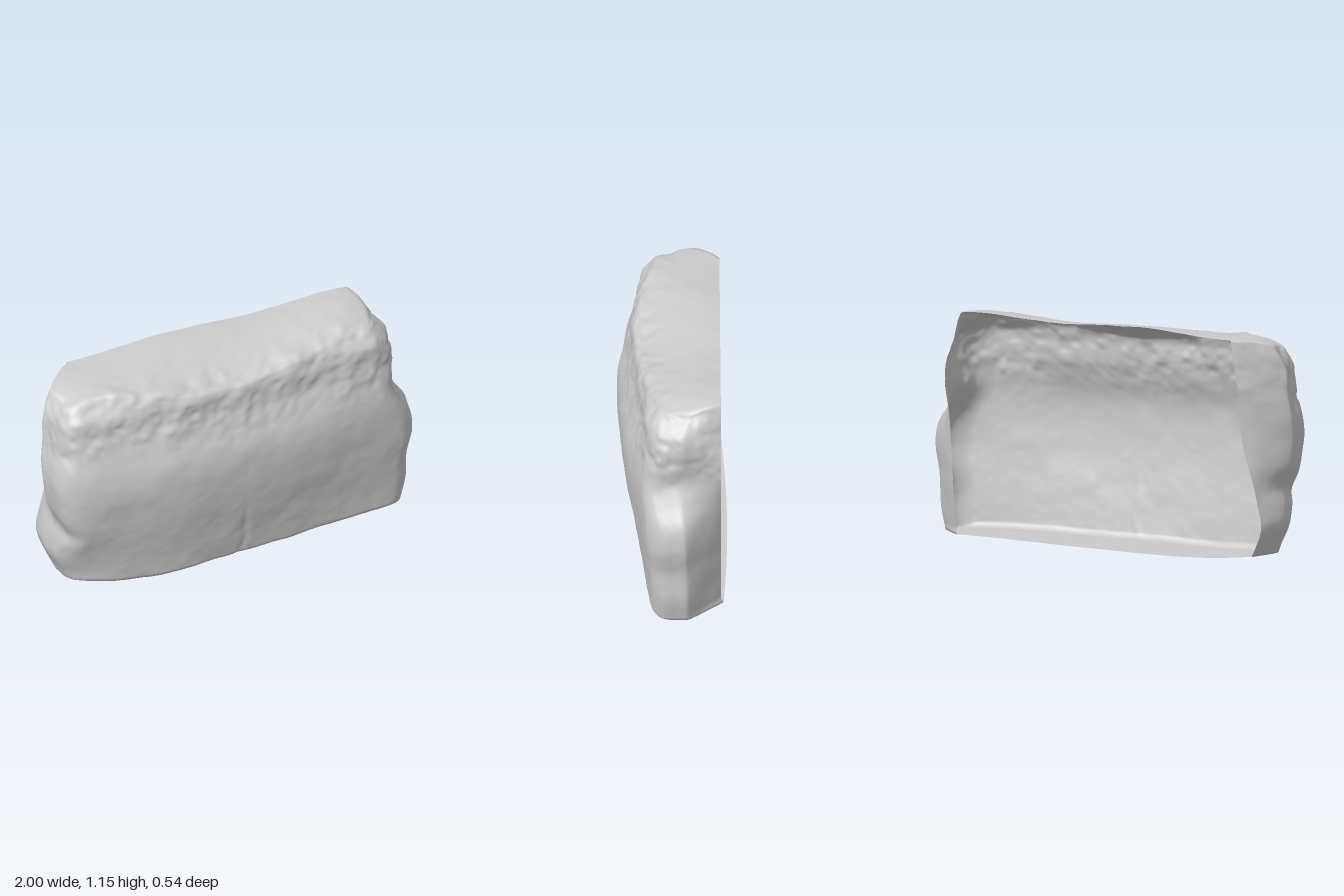
import * as THREE from 'three';

// Smooth curve through [position, value] pairs
function curve(pairs) {
  const c = new THREE.CubicInterpolant(pairs.map(p => p[0]), pairs.map(p => p[1]), 1, [0]);
  return t => c.evaluate(t)[0];
}
const { lerp, smoothstep } = THREE.MathUtils;

// Side outlines by height: at the widest part and at the open back rim
const leftMid = curve([[0, -0.9], [0.06, -0.92], [0.17, -0.96], [0.26, -0.95], [0.34, -0.93], [0.46, -0.97],
  [0.6, -0.985], [0.72, -1], [0.86, -0.98], [1.02, -0.965], [1.12, -0.92]]);
const leftBack = curve([[0, -0.885], [0.15, -0.93], [0.28, -0.91], [0.45, -0.86], [0.75, -0.8], [1, -0.78], [1.12, -0.76]]);
const rightMid = curve([[0, 0.94], [0.1, 0.962], [0.3, 0.98], [0.45, 1], [0.56, 0.98], [0.66, 0.92],
  [0.75, 0.875], [0.85, 0.885], [0.95, 0.89], [1.02, 0.865], [1.12, 0.8]]);
const rightBack = curve([[0, 0.78], [0.3, 0.81], [0.6, 0.825], [0.85, 0.855], [1, 0.81], [1.12, 0.76]]);
// Top and bottom edge heights by x
const topBack = curve([[-0.85, 1.11], [-0.6, 1.118], [-0.3, 1.14], [0, 1.135], [0.2, 1.125], [0.4, 1.135], [0.7, 1.145], [0.82, 1.13]]);
const topFront = curve([[-0.95, 1.03], [-0.9, 1.05], [-0.8, 1.085], [-0.5, 1.085], [-0.25, 1.05], [0, 1.035], [0.2, 1.055],
  [0.5, 1.09], [0.65, 1.1], [0.8, 1.07]]);
const bottomEdge = curve([[-0.9, 0.03], [-0.6, 0.006], [0, 0.008], [0.6, 0.018], [0.92, 0.014]]);
// Front bulge across the width and its loss with height
const bulgeX = curve([[-1, 0.14], [-0.9, 0.2], [-0.6, 0.247], [-0.4, 0.267], [0, 0.257], [0.4, 0.222], [0.7, 0.17], [0.9, 0.13], [1, 0.09]]);
const bulgeY = curve([[0, -0.09], [0.2, -0.055], [0.4, -0.018], [0.6, 0], [0.7, -0.01], [0.8, -0.04], [0.9, -0.065], [1, -0.078], [1.1, -0.125]]);

// Seeded value noise for the stone surface
function hash(x, y, z) {
  let h = Math.imul(x, 374761393) ^ Math.imul(y, 668265263) ^ Math.imul(z, 1442695041);
  h = Math.imul(h ^ (h >>> 13), 1274126177);
  return ((h ^ (h >>> 16)) >>> 0) / 2147483648 - 1;
}
function noise(x, y, z) {
  const i = Math.floor(x), j = Math.floor(y), k = Math.floor(z);
  const f = t => t * t * (3 - 2 * t);
  const u = f(x - i), v = f(y - j), w = f(z - k);
  const row = (b, c) => lerp(hash(i, j + b, k + c), hash(i + 1, j + b, k + c), u);
  return lerp(lerp(row(0, 0), row(1, 0), v), lerp(row(0, 1), row(1, 1), v), w);
}

// Rounding depth near the border of the front face
function roll(t, width, depth) {
  const e = Math.max(0, 1 - (1 - Math.abs(t)) / width);
  return depth * (1 - Math.sqrt(1 - e * e));
}

// Front depth: bulge, flatter towards the right, worn at the lower left and along the top edge
function frontDepth(x, y, a, b) {
  const flatter = 1 - 0.5 * smoothstep(x, 0.3, 0.9);
  const lowerLeft = 0.06 * smoothstep(-x, 0.6, 0.92) * (1 - smoothstep(y, 0.05, 0.4));
  const upperLeft = 0.035 * smoothstep(-x, 0.5, 0.85) * smoothstep(y, 0.95, 1.08);
  const upperRight = 0.03 * smoothstep(x, 0.4, 0.7) * smoothstep(y, 1, 1.1);
  return bulgeX(x) + bulgeY(y) * flatter - lowerLeft - upperLeft - upperRight
    - Math.max(roll(a, 0.1, 0.07), roll(b, 0.06, 0.03));
}

// Point for square position (a, b), wall depth w (0 = back rim, 1 = front edge) and face loop size r
function place(a, b, w, r) {
  const yn = (b + 1) * 0.56;
  const t = Math.min(w / 0.68, 1);
  const swell = t * (1.4 - 0.4 * t);
  const inset = 0.012 * smoothstep(w, 0.7, 1);
  const left = lerp(leftBack(yn), leftMid(yn), swell) + inset;
  const right = lerp(rightBack(yn), rightMid(yn), swell) - inset;
  let x = lerp(left, right, (a + 1) / 2);
  const top = lerp(topBack(x), topFront(x), w * w);
  const bottom = bottomEdge(x) + 0.012 * (1 - w);
  let y = lerp(bottom, top, (b + 1) / 2);
  const rim = -0.24 - 0.035 * (1 - x * x) * smoothstep(-b, 0.95, 1);
  let z = lerp(rim, frontDepth(x, y, a, b), w);

  // Dents everywhere, a broken band below the top edge, calm top and bottom faces
  const level = r === 1 && Math.abs(b) === 1;
  const calm = level ? lerp(0.2, 1, w ** 6) : 1;
  const band = smoothstep(y, 0.7 + 0.14 * noise(x * 3, 5, 1), 0.9);
  const n = noise(x * 7, y * 7, z * 7), m = noise(x * 15 + 9, y * 15, z * 15), f = noise(x * 30, y * 30 + 4, z * 30);
  const rough = calm * ((0.004 + 0.003 * band) * n + (0.0015 + 0.006 * band) * m + (0.0007 + 0.004 * band) * f);
  const side = smoothstep(r, 0.88, 1);
  if (Math.abs(a) > Math.abs(b) - 0.001) x += Math.sign(a) * side * (rough + 0.004 * n);
  if (Math.abs(b) > Math.abs(a) - 0.001) y += Math.sign(b) * side * rough;
  z += rough * w;

  // Hairline groove in the lower middle of the front
  const offset = (x - 0.015 * noise(1, y * 8, 3)) / 0.015;
  if (w === 1) z -= 0.006 * Math.exp(-offset * offset) * (1 - smoothstep(y, 0.2, 0.4));
  return [x, Math.max(y, 0), z];
}

function stoneGeometry() {
  const N = 90, WALL = 26, FACE = 72;
  // Square loop, anticlockwise from the front
  const loop = [];
  for (let s = 0; s < 4; s++) {
    for (let i = 0; i < N; i++) {
      const t = -1 + 2 * i / N;
      loop.push([[t, -1], [1, t], [-t, 1], [-1, -t]][s]);
    }
  }
  const pos = [], index = [], count = loop.length;
  // Wall loops from the back rim forward, then loops closing over the front
  for (let k = 0; k <= WALL + FACE; k++) {
    const w = Math.min(k / WALL, 1);
    const t = Math.max(0, k - WALL) / FACE;
    const r = 1 - t * (0.35 + 0.65 * t);
    for (const [a, b] of loop) pos.push(...place(a * r, b * r, w, r));
  }
  for (let k = 0; k < WALL + FACE; k++) {
    for (let i = 0; i < count; i++) {
      const j = (i + 1) % count;
      const p = k * count + i, q = k * count + j;
      index.push(p, q, q + count);
      if (k < WALL + FACE - 1) index.push(p, q + count, p + count);
    }
  }
  const g = new THREE.BufferGeometry();
  g.setAttribute('position', new THREE.Float32BufferAttribute(pos, 3));
  g.setIndex(index);
  g.computeVertexNormals();
  return g;
}

export function createModel() {
  const group = new THREE.Group();
  group.name = 'stoneBlock';
  // Open-backed stone shell
  const shell = new THREE.Mesh(stoneGeometry(),
    new THREE.MeshStandardMaterial({ color: 0xcccccc, side: THREE.DoubleSide }));
  shell.name = 'stoneShell';
  group.add(shell);
  return group;
}
